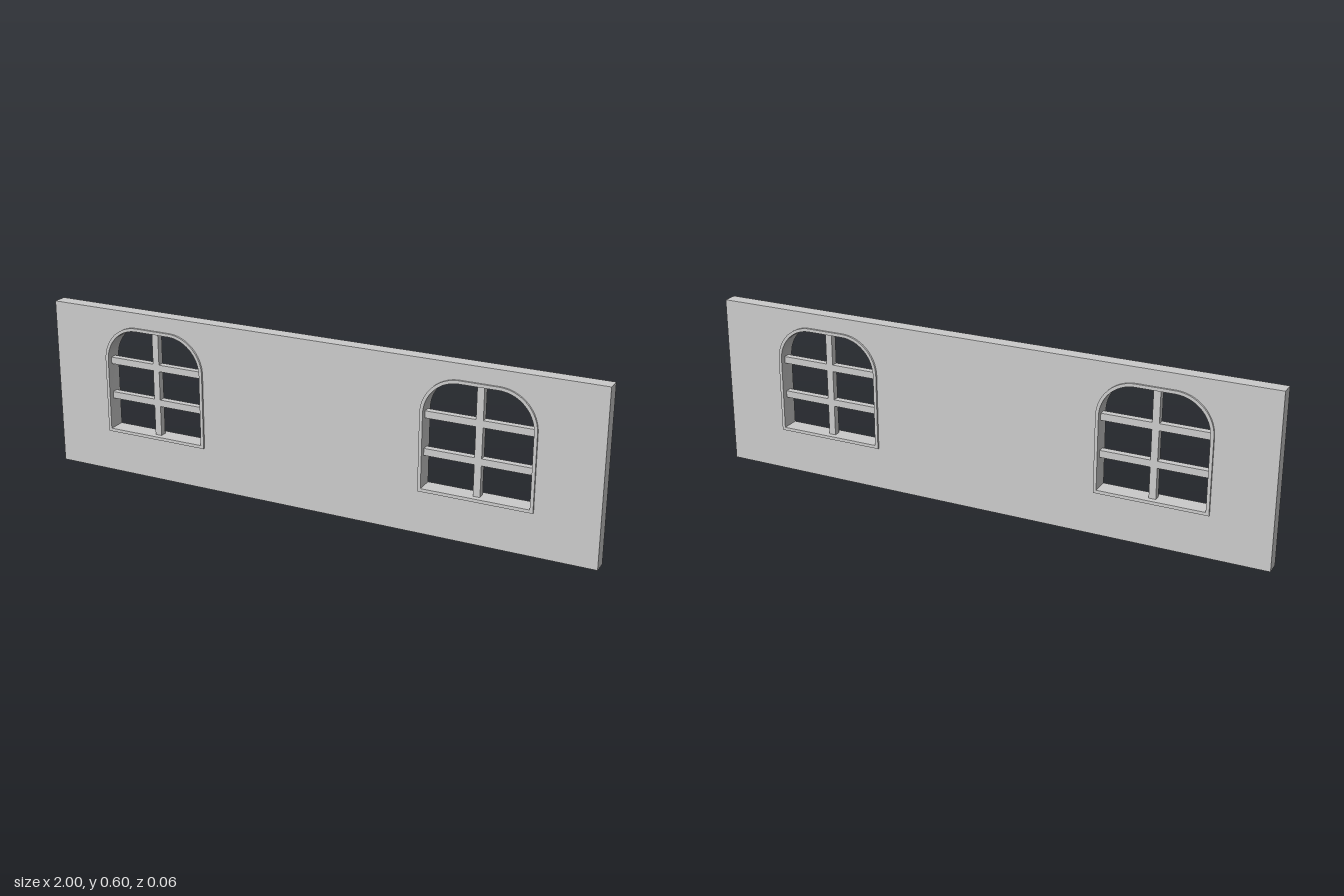
import * as THREE from 'three';
import { toCreasedNormals } from 'three/addons/utils/BufferGeometryUtils.js';

const WALL = { width: 2, height: 0.6, depth: 0.05 };
const FRAME = { bottom: 0.15, top: 0.546, half: 0.195, depth: 0.064, rim: 0.011, radius: 0.13 };
const BAR = 0.024;
const WINDOWS = { right: -0.599, left: 0.59 };

const material = new THREE.MeshStandardMaterial({ color: 0xcccccc });

// Window outline with rounded top corners, shrunk by inset
function outline(PathType, cx, inset) {
  const x0 = cx - FRAME.half + inset, x1 = cx + FRAME.half - inset;
  const y0 = FRAME.bottom + inset, y1 = FRAME.top - inset;
  const r = FRAME.radius - inset;
  const path = new PathType();
  path.moveTo(x0, y0);
  path.lineTo(x1, y0);
  path.lineTo(x1, y1 - r);
  path.absarc(x1 - r, y1 - r, r, 0, Math.PI / 2, false);
  path.absarc(x0 + r, y1 - r, r, Math.PI / 2, Math.PI, false);
  path.lineTo(x0, y0);
  return path;
}

// Extrusion centred on z = 0
function slab(name, shape, depth) {
  const geometry = new THREE.ExtrudeGeometry(shape, { depth, bevelEnabled: false, curveSegments: 12 });
  geometry.translate(0, 0, -depth / 2);
  const mesh = new THREE.Mesh(toCreasedNormals(geometry, Math.PI / 6), material);
  mesh.name = name;
  return mesh;
}

function bar(name, width, height, x, y) {
  const mesh = new THREE.Mesh(new THREE.BoxGeometry(width, height, BAR), material);
  mesh.name = name;
  mesh.position.set(x, y, 0);
  return mesh;
}

function createWindow(side, cx) {
  const group = new THREE.Group();
  group.name = `${side}Window`;

  // Thin frame standing slightly proud of both wall faces
  const ring = outline(THREE.Shape, cx, 0);
  ring.holes.push(outline(THREE.Path, cx, FRAME.rim));
  group.add(slab('windowFrame', ring, FRAME.depth));

  // Glazing bars, ending inside the frame
  const height = FRAME.top - FRAME.bottom - FRAME.rim;
  const width = 2 * FRAME.half - FRAME.rim;
  group.add(bar('verticalBar', BAR, height, cx, (FRAME.top + FRAME.bottom) / 2));
  for (const y of [0.281, 0.409]) group.add(bar('horizontalBar', width, BAR, cx, y));
  return group;
}

export function createModel() {
  const model = new THREE.Group();
  model.name = 'wallWithWindows';

  // Wall panel with two window openings
  const w = WALL.width / 2;
  const panel = new THREE.Shape();
  panel.moveTo(-w, 0);
  panel.lineTo(w, 0);
  panel.lineTo(w, WALL.height);
  panel.lineTo(-w, WALL.height);
  panel.closePath();
  for (const cx of Object.values(WINDOWS)) panel.holes.push(outline(THREE.Path, cx, FRAME.rim / 2));
  model.add(slab('wall', panel, WALL.depth));

  for (const [side, cx] of Object.entries(WINDOWS)) model.add(createWindow(side, cx));
  return model;
}
